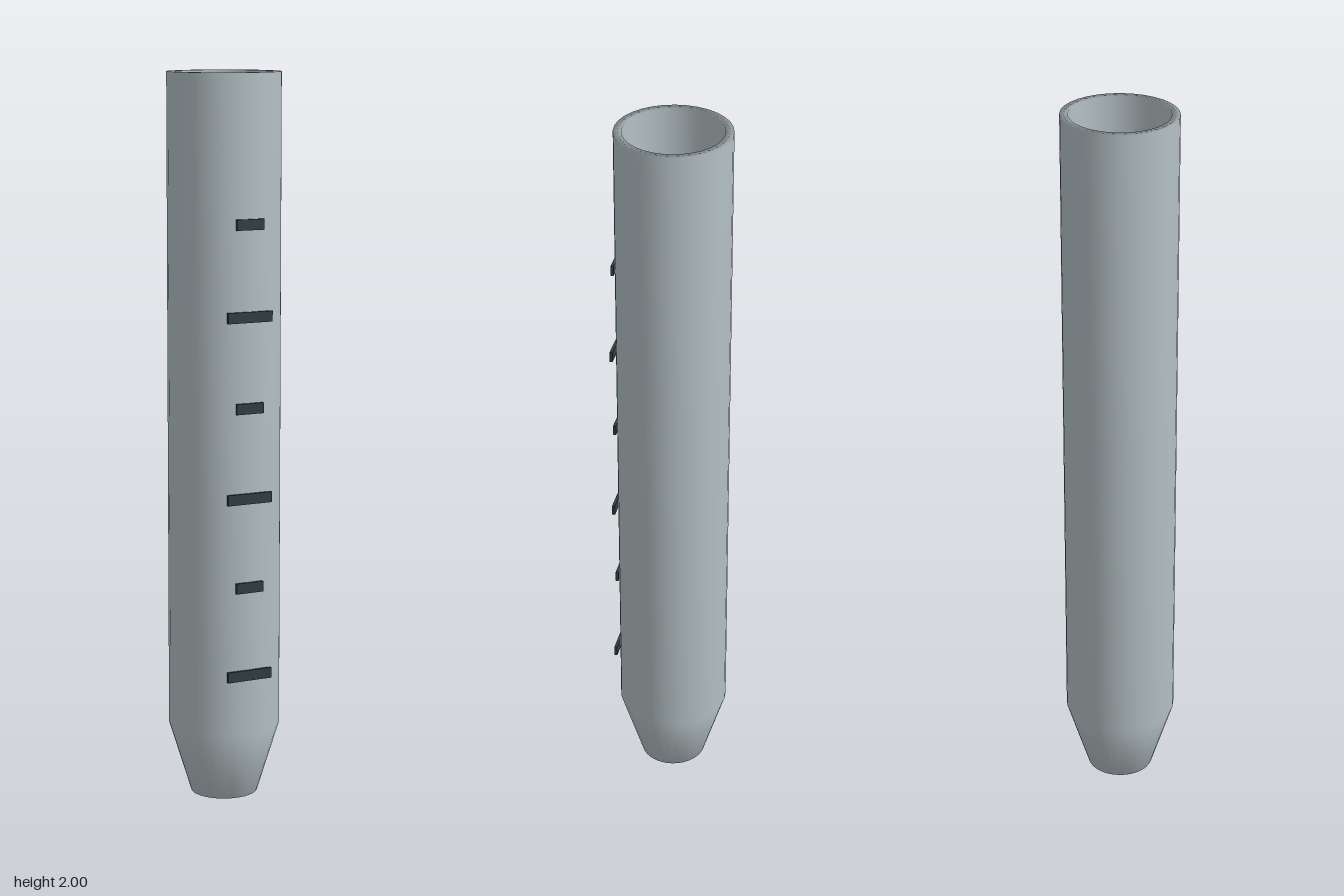
import * as THREE from 'three';
import { mergeVertices } from 'three/addons/utils/BufferGeometryUtils.js';

export function createModel() {
  const model = new THREE.Group();
  const tubeGrey = new THREE.MeshStandardMaterial({ name: 'tubeGrey', color: 0xb4c0c4 });
  const markDark = new THREE.MeshStandardMaterial({ name: 'markDark', color: 0x2f3e42 });

  // Hollow tube: tapered foot, straight wall, rim, then the inner wall and floor
  const profile = [
    [0, 0], [0.093, 0], [0.155, 0.2], [0.155, 2],
    [0.133, 2], [0.112, 0.2], [0, 0.16],
  ].map(([r, y]) => new THREE.Vector2(r, y));
  let geometry = new THREE.LatheGeometry(profile, 32);
  geometry.deleteAttribute('uv');
  geometry.deleteAttribute('normal');
  geometry = mergeVertices(geometry, 1e-5);
  geometry.computeVertexNormals(); // smooth all round
  const tube = new THREE.Mesh(geometry, tubeGrey);
  tube.name = 'tube';
  tube.scale.z = 0.987;
  tube.position.z = -0.004;
  model.add(tube);

  // Measuring marks up the front, alternating long and short
  const marks = new THREE.Group();
  marks.name = 'measuringMarks';
  for (let i = 0; i < 6; i++) {
    const long = i % 2 === 0;
    const mark = new THREE.Mesh(
      new THREE.BoxGeometry(long ? 0.132 : 0.08, 0.029, 0.008), markDark);
    mark.name = long ? 'longMark' : 'shortMark';
    mark.position.set(0, 0.37 + i * 0.2465, 0.151);
    marks.add(mark);
  }
  model.add(marks);
  return model;
}
